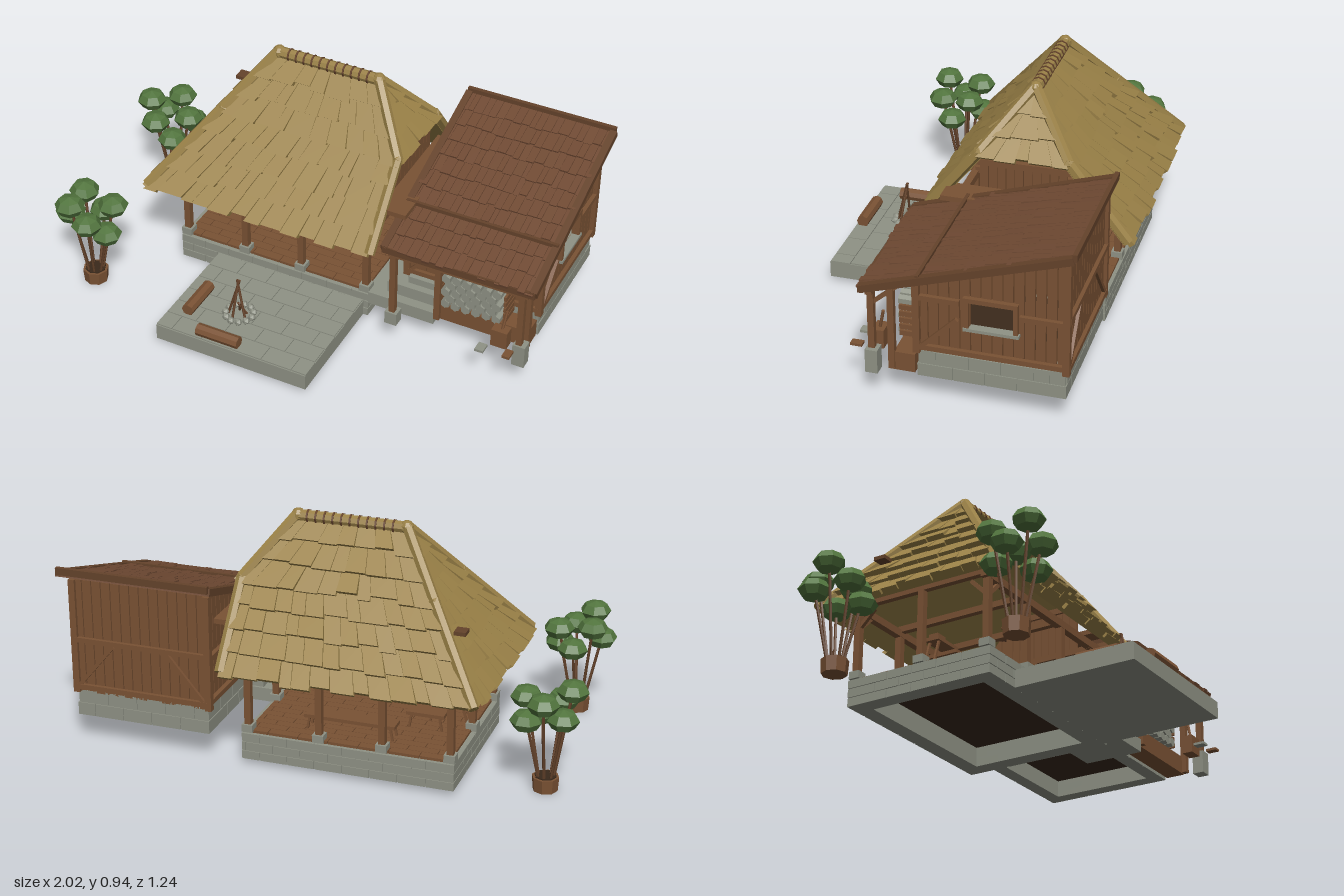
import * as THREE from 'three';
import { mergeGeometries } from 'three/addons/utils/BufferGeometryUtils.js';

const colour = (name, hex) => Object.assign(new THREE.MeshStandardMaterial({ color: hex }), { name });
const V = (x, y, z) => new THREE.Vector3(x, y, z);
const mix = (a, b, t) => a + (b - a) * t;
const clamp = (v, a, b) => Math.min(b, Math.max(a, v));

export function createModel() {
  const thatch = colour('thatch', 0x9a8147), wood = colour('wood', 0x7a5234), shingle = colour('shingle', 0x704a33);
  const stone = colour('stone', 0x8f9285), dark = colour('dark earth', 0x3a291b), leaf = colour('leaf', 0x52753e);
  const bark = colour('bark', 0x65432b);
  const model = new THREE.Group();
  let seed = 7;
  const rnd = () => (seed = (seed * 16807) % 2147483647) / 2147483647;

  // merge a list of pieces into one faceted, named mesh
  const add = (name, mat, geos) => {
    const flat = geos.map((g) => (g.index ? g.toNonIndexed() : g));
    const geo = mergeGeometries(flat);
    geo.computeVertexNormals();
    const mesh = new THREE.Mesh(geo, mat);
    mesh.name = name;
    model.add(mesh);
  };
  // box given by its limits
  const box = (x0, x1, y0, y1, z0, z1) => new THREE.BoxGeometry(x1 - x0, y1 - y0, z1 - z0)
    .translate((x0 + x1) / 2, (y0 + y1) / 2, (z0 + z1) / 2);
  // six-sided block with free corners, indexed x + 2y + 4z
  const hexa = (c) => {
    const g = new THREE.BoxGeometry(1, 1, 1), p = g.attributes.position;
    for (let i = 0; i < p.count; i++) {
      const q = c[(p.getX(i) > 0) + 2 * (p.getY(i) > 0) + 4 * (p.getZ(i) > 0)];
      p.setXYZ(i, q.x, q.y, q.z);
    }
    return g;
  };
  // round pole (n sides) or squared beam (n = 4) between two points
  const rod = (p, q, r, n = 6) => {
    const d = q.clone().sub(p), g = new THREE.CylinderGeometry(r, r, d.length(), n);
    if (n === 4) g.rotateY(Math.PI / 4);
    g.applyQuaternion(new THREE.Quaternion().setFromUnitVectors(V(0, 1, 0), d.normalize()));
    return g.translate((p.x + q.x) / 2, (p.y + q.y) / 2, (p.z + q.z) / 2);
  };
  // roof slope between two edge functions, laid with overlapping courses
  const slope = (L, R, rows, width, lift, ragged) => {
    const out = [], n = R(0).sub(L(0)).cross(L(1).sub(L(0))).normalize();
    const up = (p, h) => p.clone().addScaledVector(n, h);
    const slab = (a, b, c, d, under, lo, hi) => hexa([up(c, under), up(d, under), up(c, hi), up(d, hi),
      up(a, under), up(b, under), up(a, lo), up(b, lo)]);
    for (let r = 0; r < rows; r++) {
      const [a, b, c, d] = [L(r / rows), R(r / rows), L((r + 1) / rows), R((r + 1) / rows)];
      out.push(slab(a, b, c, d, -0.014, 0.004, 0.004));
      const count = Math.max(1, Math.round(a.distanceTo(b) / width));
      const cuts = [...Array(count + 1).keys()].map((i) => (i % count ? (i + (rnd() - 0.5) * 0.5) / count : i / count));
      for (let i = 0; i < count; i++) {
        const drop = -rnd() * ragged, h = lift * (0.75 + rnd() * 0.5), s0 = cuts[i], s1 = cuts[i + 1] - 0.003;
        const at = (s, t) => a.clone().lerp(b, s).lerp(c.clone().lerp(d, s), t);
        out.push(slab(at(s0, drop), at(s1, drop), at(s0, 1), at(s1, 1), 0.002, h, 0.007));
      }
    }
    return out;
  };
  // hollow foundation of staggered blocks
  const ring = (x0, x1, z0, z1, y0, y1, courses, len, w) => {
    const e = 0.004, out = [box(x0 + e, x1 - e, y0, y1 - e, z1 - w, z1 - e), box(x0 + e, x1 - e, y0, y1 - e, z0 + e, z0 + w),
      box(x0 + e, x0 + w, y0, y1 - e, z0 + w, z1 - w), box(x1 - w, x1 - e, y0, y1 - e, z0 + w, z1 - w)];
    const h = (y1 - y0) / courses;
    for (let c = 0; c < courses; c++) {
      const a = y0 + c * h, b = a + h - 0.004;
      const run = (s0, s1, put) => {
        for (let s = s0 - (c % 2) * len / 2; s < s1 - 0.01; s += len)
          put(Math.max(s, s0), Math.min(s + len - 0.005, s1));
      };
      run(x0, x1, (s, t) => out.push(box(s, t, a, b, z1 - w, z1), box(s, t, a, b, z0, z0 + w)));
      run(z0 + w, z1 - w, (s, t) => out.push(box(x0, x0 + w, a, b, s, t), box(x1 - w, x1, a, b, s, t)));
    }
    return out;
  };

  // pavilion foundation and staggered board floor
  add('pavilionFoundation', stone, ring(-0.56, 0.28, -0.51, 0.12, 0.02, 0.13, 3, 0.11, 0.07));
  add('pavilionSubfloor', dark, [box(-0.5, 0.22, 0.1, 0.125, -0.45, 0.06)]);
  const floor = [];
  for (let i = 0; i < 16; i++)
    for (let x = -0.54 - (i % 2) * 0.06; x < 0.25; x += 0.12)
      floor.push(box(Math.max(x, -0.54), Math.min(x + 0.117, 0.26), 0.122, 0.137, -0.495 + i * 0.0375, -0.46 + i * 0.0375));
  add('pavilionFloor', wood, floor);

  // flagstone terrace
  const patio = [box(-0.39, 0.26, 0.02, 0.086, 0.12, 0.615)];
  for (let i = 0; i < 6; i++)
    for (let x = -0.39 - (i % 2) * 0.06; x < 0.25; x += 0.13)
      patio.push(box(Math.max(x, -0.39), Math.min(x + 0.126, 0.26), 0.08, 0.091, 0.122 + i * 0.082, 0.2 + i * 0.082));
  add('terrace', stone, patio);

  // posts, beams and braces of the pavilion
  const frame = [], feet = [], xs = [-0.54, -0.275, -0.025, 0.26], X0 = -0.54, X1 = 0.26, Z0 = -0.485, Z1 = 0.095;
  const post = (x, z) => {
    frame.push(box(x - 0.013, x + 0.013, 0.15, 0.43, z - 0.013, z + 0.013));
    feet.push(box(x - 0.022, x + 0.022, 0.13, 0.16, z - 0.022, z + 0.022));
  };
  for (const z of [Z0, Z1]) {
    xs.forEach((x) => post(x, z));
    frame.push(box(X0 - 0.03, X1 + 0.03, 0.405, 0.435, z - 0.014, z + 0.014));
    frame.push(rod(V(X0, 0.34, z), V(X0 + 0.07, 0.41, z), 0.011, 4), rod(V(X1, 0.34, z), V(X1 - 0.07, 0.41, z), 0.011, 4));
    const s = z === Z0 ? 1 : -1;
    for (const x of [X0, X1]) frame.push(rod(V(x, 0.34, z), V(x, 0.41, z + s * 0.07), 0.011, 4));
  }
  for (const x of [X0, X1]) post(x, -0.195);
  for (const x of xs) frame.push(box(x - 0.012, x + 0.012, 0.425, 0.45, Z0, Z1));
  frame.push(box(0.29, 0.32, 0.645, 0.67, -0.39, 0.0), box(0.295, 0.312, 0.45, 0.47, -0.54, 0.15));
  add('pavilionFrame', wood, frame);
  add('postFeet', stone, feet);
  const gable = [], ridgeHalf = (y) => (0.905 - y) * 0.79;
  for (let z = -0.36; z < -0.03; z += 0.034) gable.push(box(0.3, 0.31, 0.47, 0.66, z, z + 0.031));
  add('gableBoards', wood, gable);

  // thatched roof: full hip on one end, half hip on the other
  const ye = 0.4, yr = 0.905, k = 4 / 7, zr = -0.195;
  const edge = (left, s) => (t) => {
    const y = mix(ye, yr, t), x = left ? mix(-0.65, -0.27, t) : t < k ? 0.325 : mix(0.325, 0.16, (t - k) / (1 - k));
    return V(x, y, zr + s * ridgeHalf(y));
  };
  const [LF, LB, RF, RB] = [edge(true, 1), edge(true, -1), edge(false, 1), edge(false, -1)];
  const top = (f) => (t) => f(mix(k, 1, t));
  add('thatchRoof', thatch, [
    ...slope(LF, RF, 7, 0.075, 0.026, 0.25), ...slope(RB, LB, 7, 0.075, 0.026, 0.25),
    ...slope(LB, LF, 7, 0.075, 0.026, 0.25), ...slope(top(RF), top(RB), 3, 0.075, 0.026, 0.2)]);
  const caps = [];
  const lifted = (p) => p.add(V(0, 0.016, 0));
  for (const f of [LF, LB, RF, RB]) {
    caps.push(rod(lifted(f(-0.015)), lifted(f(k)), 0.021), rod(lifted(f(k)), lifted(f(1)), 0.021));
    caps.push(new THREE.IcosahedronGeometry(0.023).translate(...lifted(f(k)).toArray()));
  }
  caps.push(rod(V(-0.27, 0.912, zr), V(0.16, 0.912, zr), 0.024, 8));
  for (const x of [-0.27, 0.16]) caps.push(new THREE.SphereGeometry(0.028, 8, 5).translate(x, 0.913, zr));
  add('ridgeAndHipRolls', thatch, caps);
  const ties = [];
  for (let i = 0; i < 11; i++) ties.push(rod(V(-0.225 + i * 0.034, 0.912, zr), V(-0.218 + i * 0.034, 0.912, zr), 0.027, 8));
  add('ridgeTies', bark, ties);
  add('roofVent', bark, [box(-0.565, -0.52, 0.6, 0.615, -0.41, -0.36)]);

  // shed foundation, link steps
  const sx0 = 0.405, sx1 = 0.955, sz0 = -0.53, sz1 = 0.02;
  add('shedFoundation', stone, ring(sx0, sx1, sz0, sz1, 0.11, 0.22, 2, 0.12, 0.06));
  add('shedFloor', dark, [box(0.45, 0.91, 0.18, 0.2, -0.48, -0.03)]);
  add('linkSteps', stone, [box(0.28, 0.56, 0.085, 0.14, -0.13, 0.12), box(0.345, 0.55, 0.14, 0.19, -0.12, 0.08),
    box(0.42, 0.55, 0.19, 0.22, -0.1, 0.05)]);

  // shed walls of upright planks with a window on each side
  const roofY = (z) => 0.462 + (0.22 - z) * 0.31, under = (z) => roofY(z) - 0.02;
  const planks = [], rails = [], w = 0.0393;
  const side = (x, z0, z1, y0, sill) => {
    const h = (z) => sill || under(z);
    planks.push(hexa([V(x, y0, z0), V(x + 0.014, y0, z0), V(x, h(z0), z0), V(x + 0.014, h(z0), z0),
      V(x, y0, z1), V(x + 0.014, y0, z1), V(x, h(z1), z1), V(x + 0.014, h(z1), z1)]));
  };
  for (let i = 0; i < 14; i++) {
    const z = sz0 + i * w, z1 = z + w - 0.004, x = sx0 + i * w;
    for (const wx of [sx0 + 0.008, sx1 - 0.022]) {
      if (z > -0.345 && z1 < -0.165) { side(wx, z, z1, 0.21, 0.345); side(wx, z, z1, 0.455); } else side(wx, z, z1, 0.21);
    }
    planks.push(box(x, x + w - 0.004, 0.21, under(sz0), sz0, sz0 + 0.014), box(x, x + w - 0.004, 0.21, under(sz1), sz1 - 0.014, sz1));
  }
  add('shedPlanks', wood, planks);
  for (const x of [sx0, sx1]) {
    for (const z of [sz0, sz1]) rails.push(box(x - 0.016, x + 0.01, 0.21, under(z), z - 0.013, z + 0.013));
    rails.push(box(x - 0.01, x + 0.008, 0.225, 0.245, sz0, sz1), rod(V(x, 0.24, 0), V(x, 0.37, -0.13), 0.011, 4));
    rails.push(box(x - 0.01, x + 0.008, 0.405, 0.425, sz0, -0.36), box(x - 0.01, x + 0.008, 0.43, 0.45, -0.14, sz1));
    rails.push(box(x - 0.014, x + 0.01, 0.45, 0.468, -0.355, -0.155), box(x - 0.014, x + 0.01, 0.34, 0.46, -0.355, -0.338),
      box(x - 0.014, x + 0.01, 0.34, 0.46, -0.175, -0.158));
  }
  for (const [z, y] of [[sz0 - 0.006, 0.42], [sz1 + 0.006, 0.4]])
    rails.push(box(sx0, sx1, 0.225, 0.245, z - 0.008, z + 0.008), box(sx0, sx1, y, y + 0.02, z - 0.008, z + 0.008));
  rails.push(rod(V(0.42, 0.24, sz0 - 0.005), V(0.57, 0.42, sz0 - 0.005), 0.01, 4), rod(V(0.94, 0.24, sz0 - 0.005), V(0.79, 0.42, sz0 - 0.005), 0.01, 4));
  rails.push(rod(V(0.42, 0.24, sz1 + 0.006), V(0.56, 0.4, sz1 + 0.006), 0.01, 4));
  add('shedFrame', wood, rails);
  add('windowSills', stone, [sx0, sx1].map((x) => box(x - 0.02, x + 0.014, 0.335, 0.347, -0.36, -0.155)));

  // shed lean-to roof with edge boards
  const shedEdge = (x) => (t) => { const z = mix(0.215, -0.56, t); return V(x, roofY(z), z); };
  add('shedShingles', shingle, slope(shedEdge(0.385), shedEdge(0.995), 10, 0.032, 0.013, 0.15));
  add('shedRoofEdges', bark, [...[0.388, 0.992].map((x) => rod(shedEdge(x)(0), shedEdge(x)(1), 0.02, 4)),
    box(0.38, 1, 0.7, 0.728, -0.572, -0.555), box(0.38, 1, 0.448, 0.475, 0.208, 0.222), box(0.38, 1, 0.536, 0.552, -0.005, 0.008)]);
  add('linkRoof', wood, [box(0.31, 0.42, 0.53, 0.55, -0.44, 0.1)]);

  // porch posts and rack
  const porch = [box(0.4, 0.97, 0.425, 0.448, 0.18, 0.205)];
  for (const x of [0.42, 0.945]) porch.push(box(x - 0.012, x + 0.012, 0.15, 0.44, 0.18, 0.204), rod(V(x, 0.38, 0.19), V(x, 0.475, 0.08), 0.01, 4));
  for (const x of [0.575, 0.945]) porch.push(box(x - 0.012, x + 0.012, 0.12, 0.475, 0.105, 0.129));
  porch.push(box(0.58, 0.95, 0.115, 0.19, 0.03, 0.11));
  for (let i = 0; i < 5; i++) for (const x of [0.575, 0.845]) porch.push(box(x, x + 0.01, 0.2 + i * 0.027, 0.22 + i * 0.027, 0.025, 0.12));
  porch.push(box(0.835, 0.9, 0.16, 0.235, 0.165, 0.21), rod(V(0.87, 0.22, 0.19), V(0.88, 0.31, 0.17), 0.006));
  porch.push(box(0.91, 0.94, 0.18, 0.19, 0.235, 0.28));
  add('porch', wood, porch);
  add('porchStones', stone, [box(0.395, 0.445, 0.1, 0.155, 0.165, 0.212), box(0.925, 0.975, 0.1, 0.195, 0.165, 0.212),
    box(0.8, 0.835, 0.17, 0.18, 0.235, 0.28)]);
  const logs = [];
  for (let r = 0; r < 5; r++) for (let i = 0; i < 6 - (r % 2); i++) {
    const x = 0.61 + i * 0.042 + (r % 2) * 0.021, y = 0.212 + r * 0.03;
    logs.push(rod(V(x, y, 0.025), V(x, y, 0.125 + rnd() * 0.01), 0.019, 6));
  }
  add('stackedLogs', stone, logs);

  // fire pit with tripod, log seats
  const stones = [], sticks = [];
  for (let i = 0; i < 11; i++) {
    const a = i / 11 * Math.PI * 2;
    stones.push(new THREE.IcosahedronGeometry(0.016).translate(-0.13 + Math.cos(a) * 0.055, 0.1, 0.42 + Math.sin(a) * 0.055));
  }
  for (let i = 0; i < 5; i++) {
    const a = i / 5 * Math.PI * 2 + 0.5, r = i < 3 ? 0.045 : 0.03;
    sticks.push(rod(V(-0.13 + Math.cos(a) * r, 0.09, 0.42 + Math.sin(a) * r), V(-0.13 - Math.cos(a) * 0.006, i < 3 ? 0.265 : 0.15, 0.42), 0.005));
  }
  add('fireRing', stone, stones);
  add('tripod', bark, sticks);
  add('logSeats', wood, [rod(V(-0.22, 0.11, 0.585), V(-0.04, 0.11, 0.585), 0.025, 8), rod(V(-0.31, 0.112, 0.34), V(-0.31, 0.112, 0.51), 0.025, 8)]);

  // table and benches inside the pavilion
  const table = (x0, x1, y, z0, z1, lean) => [box(x0, x1, y - 0.014, y, z0, z1), ...[x0 + 0.02, x1 - 0.02].flatMap((x, i) =>
    [z0 + 0.01, z1 - 0.01].map((z) => rod(V(x + (i ? lean : -lean), 0.137, z), V(x, y - 0.008, z), 0.006, 4)))];
  add('furniture', wood, [...table(-0.3, 0.06, 0.2, -0.42, -0.35, 0.01), ...table(-0.45, -0.3, 0.205, -0.28, -0.1, 0.01),
    ...table(-0.51, -0.38, 0.245, -0.2, -0.14, 0.03), box(-0.5, -0.45, 0.245, 0.262, -0.19, -0.15)]);

  // clustered trees in tubs
  for (const [x, z, turn] of [[-0.81, 0.39, 0.3], [-0.865, -0.34, 1.1]]) {
    const trunks = [], crowns = [];
    for (let i = 0; i < 7; i++) {
      const a = turn + i / 7 * Math.PI * 2, r = 0.088, y = 0.275 + ((i * 3) % 7) * 0.0215;
      const cx = x + Math.cos(a) * r, cz = z + Math.sin(a) * r;
      trunks.push(rod(V(x + Math.cos(a) * 0.028, 0.04, z + Math.sin(a) * 0.028), V(cx, y, cz), 0.006, 5));
      crowns.push(new THREE.SphereGeometry(1, 7, 4).scale(0.062, 0.042, 0.062).rotateY(rnd() * 3).translate(cx, y, cz));
    }
    add('treeTrunks', bark, trunks);
    add('treeCrown', leaf, crowns);
    add('treeTub', wood, [new THREE.CylinderGeometry(0.052, 0.048, 0.055, 8).translate(x, 0.0275, z)]);
    add('tubSoil', dark, [new THREE.CylinderGeometry(0.042, 0.042, 0.004, 8).translate(x, 0.057, z)]);
  }
  return model;
}
